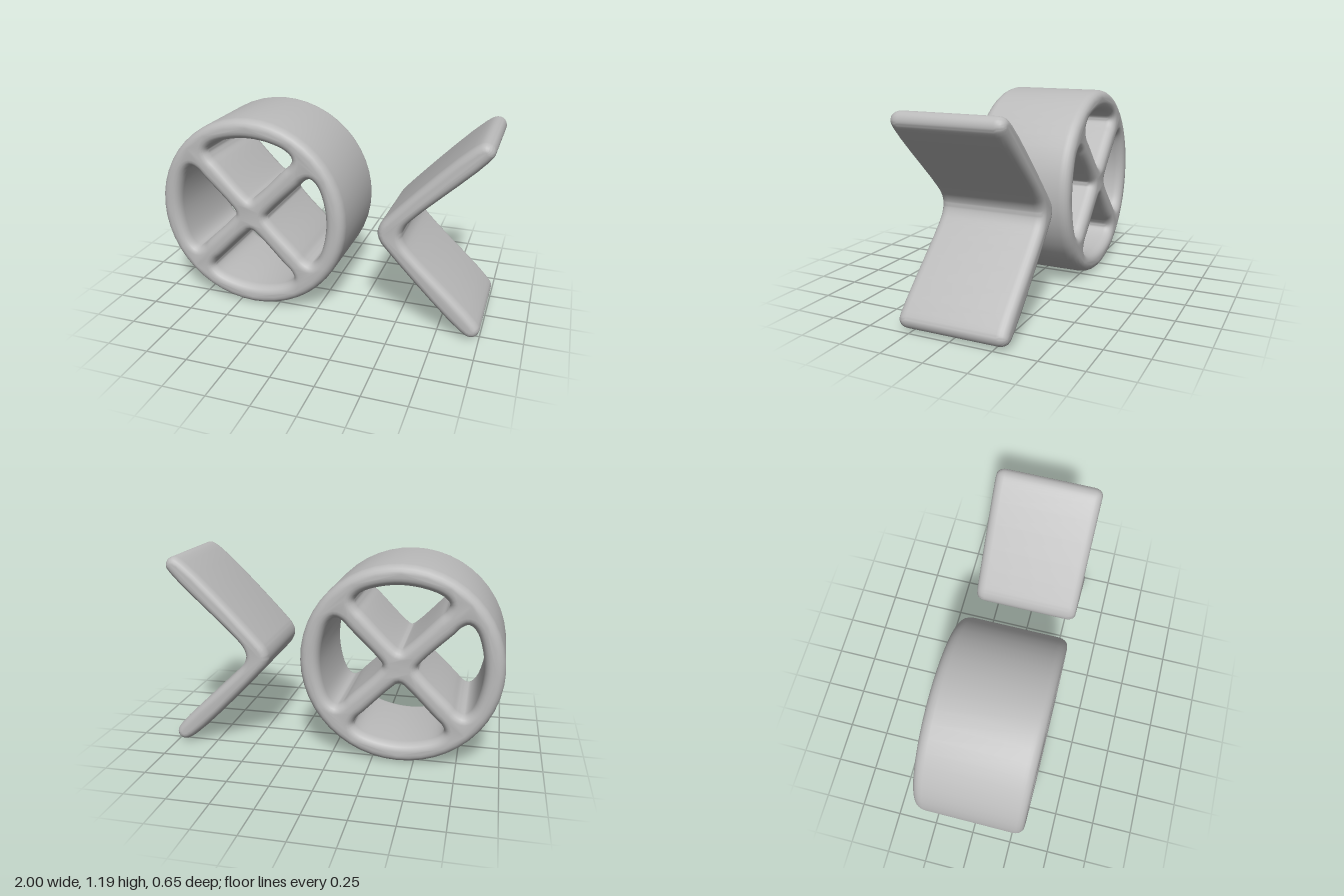
import * as THREE from 'three';
import { toCreasedNormals } from 'three/addons/utils/BufferGeometryUtils.js';

const HALF_DEPTH = 0.325;

// Smooth closed outline through a few points
function smoothLoop(points, divisions) {
  const curve = new THREE.CatmullRomCurve3(
    points.map(([x, y]) => new THREE.Vector3(x, y, 0)), true, 'centripetal');
  return curve.getPoints(divisions).slice(0, -1).map(p => new THREE.Vector2(p.x, p.y));
}

// Closes a half outline with its mirror image across y = 0
function mirrorHalf(half) {
  return [...half, ...half.slice(1, -1).reverse().map(([x, y]) => [x, -y])];
}

// Extrusion along z with softly rounded front and back edges
function softExtrude(shape, bevelSize, bevelThickness) {
  const depth = 2 * (HALF_DEPTH - bevelThickness);
  const geometry = new THREE.ExtrudeGeometry(shape, {
    depth, steps: 1, curveSegments: 24, bevelEnabled: true, bevelSegments: 5,
    bevelSize, bevelThickness, bevelOffset: -bevelSize,
  });
  geometry.translate(0, 0, -depth / 2);
  return toCreasedNormals(geometry, 0.9);
}

export function createModel() {
  const model = new THREE.Group();
  model.name = 'spokedDrumAndChevron';
  const grey = new THREE.MeshStandardMaterial({ color: 0xbbbbbb });
  grey.name = 'plain grey';

  function add(name, geometry, x) {
    const mesh = new THREE.Mesh(geometry, grey);
    mesh.name = name;
    mesh.position.set(x, 0.6, 0);
    model.add(mesh);
  }

  // Drum: round rim with four rounded openings that leave diagonal spokes
  const drum = new THREE.Shape();
  drum.absarc(0, 0, 0.595, 0, Math.PI * 2, false);
  const opening = smoothLoop(mirrorHalf([
    [0.102, 0], [0.128, 0.04], [0.3, 0.21], [0.34, 0.252], [0.38, 0.268],
    [0.42, 0.235], [0.457, 0.14], [0.475, 0],
  ]), 56);
  for (let i = 0; i < 4; i++) {
    const turned = opening.map(p => p.clone().rotateAround(new THREE.Vector2(), i * Math.PI / 2));
    drum.holes.push(new THREE.Path(turned));
  }
  add('spokedDrum', softExtrude(drum, 0.048, 0.06), -0.405);

  // Chevron: two slabs meeting in a rounded corner, with rounded tips
  const chevron = new THREE.Shape(smoothLoop(mirrorHalf([
    [0, 0], [0.014, 0.05], [0.058, 0.105], [0.5, 0.548], [0.565, 0.583],
    [0.606, 0.568], [0.62, 0.528], [0.594, 0.482], [0.2, 0.1], [0.157, 0.045], [0.144, 0],
  ]), 100));
  add('chevron', softExtrude(chevron, 0.04, 0.055), 0.38);

  return model;
}
